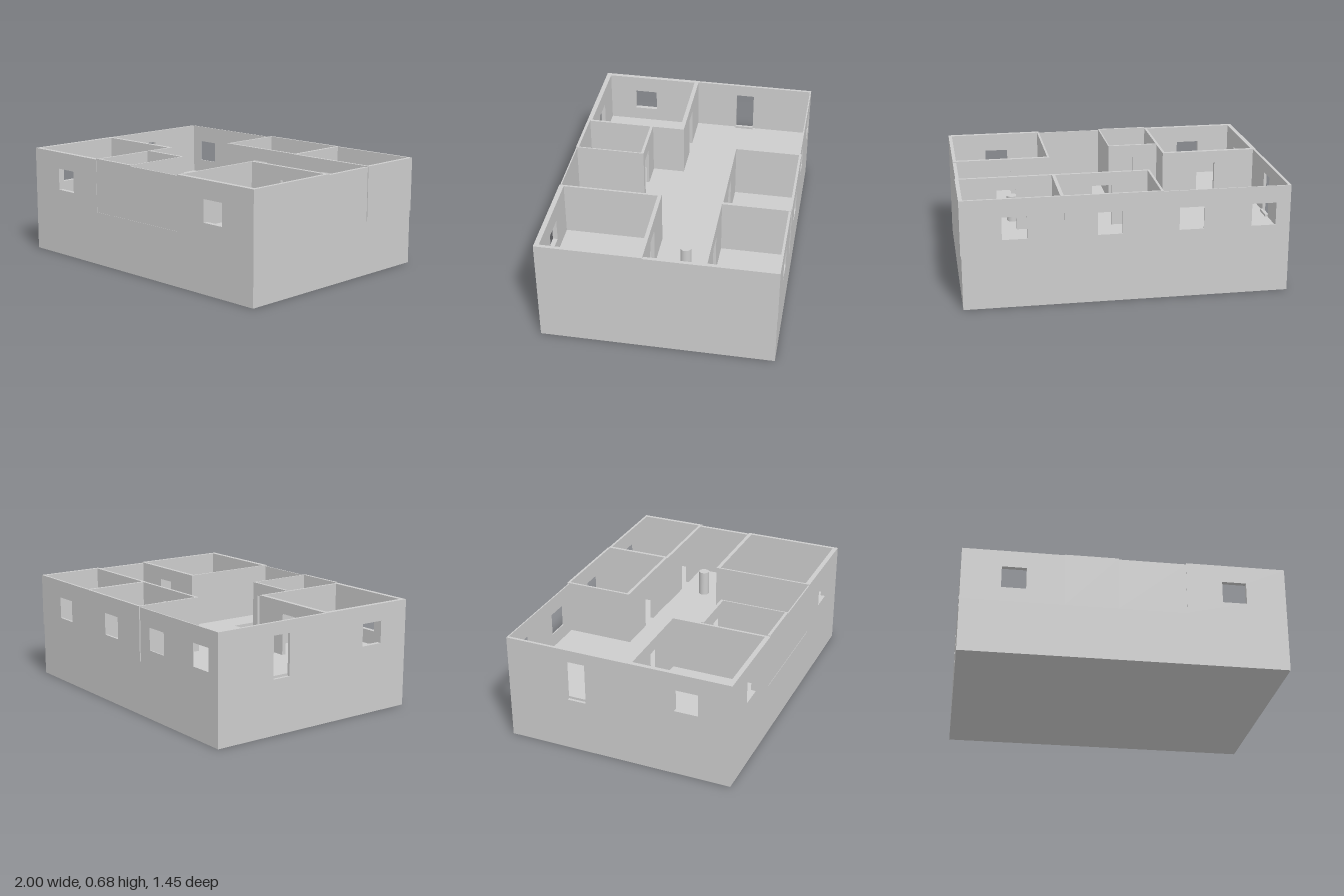
import * as THREE from 'three';

const FLOOR = 0.34, DOOR = 0.60;

export function createModel() {
  const house = new THREE.Group();
  house.name = 'house';
  const plaster = new THREE.MeshStandardMaterial({ color: 0xcccccc });
  plaster.name = 'plaster grey';

  function add(name, geometry, x = 0, y = 0, z = 0) {
    const mesh = new THREE.Mesh(geometry, plaster);
    mesh.name = name;
    mesh.position.set(x, y, z);
    house.add(mesh);
    return mesh;
  }
  function box(name, x0, x1, y0, y1, z0, z1) {
    return add(name, new THREE.BoxGeometry(x1 - x0, y1 - y0, z1 - z0),
      (x0 + x1) / 2, (y0 + y1) / 2, (z0 + z1) / 2);
  }
  function rectPath(a0, a1, b0, b1) {
    const path = new THREE.Path();
    path.moveTo(a0, b0).lineTo(a0, b1).lineTo(a1, b1).lineTo(a1, b0).closePath();
    return path;
  }

  // Wall elevation: a doorway notches the outline, windows are holes
  function wallGeometry(a0, a1, depth, top, { door, windows = [] }) {
    const shape = new THREE.Shape();
    shape.moveTo(a0, FLOOR);
    if (door) {
      shape.lineTo(door[0], FLOOR).lineTo(door[0], DOOR);
      shape.lineTo(door[1], DOOR).lineTo(door[1], FLOOR);
    }
    shape.lineTo(a1, FLOOR).lineTo(a1, top).lineTo(a0, top).closePath();
    for (const centre of windows) shape.holes.push(rectPath(centre - 0.075, centre + 0.075, 0.43, 0.57));
    return new THREE.ExtrudeGeometry(shape, { depth, bevelEnabled: false });
  }
  // Wall running along x, between z0 and z1
  function wallX(name, x0, x1, z0, z1, top, openings = {}) {
    add(name, wallGeometry(x0, x1, z1 - z0, top, openings), 0, 0, z0);
  }
  // Wall running along z, between x0 and x1
  function wallZ(name, z0, z1, x0, x1, top, openings = {}) {
    add(name, wallGeometry(z0, z1, x1 - x0, top, openings), x1).rotation.y = -Math.PI / 2;
  }

  // Base block with the sunken entry
  const plan = new THREE.Shape();
  plan.moveTo(-0.998, -0.72).lineTo(0.992, -0.72).lineTo(0.992, 0.72).lineTo(-0.998, 0.72).closePath();
  plan.holes.push(rectPath(-0.045, 0.19, -0.703, -0.3));
  add('base', new THREE.ExtrudeGeometry(plan, { depth: FLOOR, bevelEnabled: false })).rotation.x = -Math.PI / 2;
  box('entryFloor', -0.045, 0.19, 0, 0.31, 0.3, 0.703);

  // Main living space
  wallX('livingBackWall', -0.998, -0.213, -0.72, -0.712, 0.677, { windows: [-0.834, -0.389] });
  wallZ('livingLeftWall', -0.712, 0.067, -0.998, -0.98, 0.677, { door: [-0.325, -0.205] });
  wallZ('livingRightWall', -0.283, 0.075, 0.97, 0.992, 0.677);
  box('doorThreshold', -0.98, -0.963, FLOOR, 0.355, -0.325, -0.205);
  add('stool', new THREE.CylinderGeometry(0.034, 0.034, 0.165, 32), 0.636, FLOOR + 0.0825, -0.12);

  // Back middle room
  wallX('middleRoomBackWall', -0.213, 0.382, -0.727, -0.712, 0.683, { windows: [0.107] });
  wallX('middleRoomFrontWall', -0.213, 0.382, -0.307, -0.288, 0.683, { door: [0.032, 0.152] });
  wallZ('middleRoomLeftWall', -0.712, -0.307, -0.213, -0.198, 0.683);
  wallZ('sharedRoomWall', -0.723, -0.283, 0.382, 0.403, 0.683);

  // Back corner room
  wallX('cornerRoomBackWall', 0.403, 0.997, -0.723, -0.708, 0.682, { windows: [0.676] });
  wallX('cornerRoomFrontWall', 0.403, 0.997, -0.302, -0.283, 0.682, { door: [0.625, 0.745] });
  wallZ('cornerRoomSideWall', -0.708, -0.302, 0.973, 0.997, 0.682);

  // Front room on the -x side
  wallX('rightFrontRoomFrontWall', -0.998, -0.372, 0.69, 0.72, 0.678, { windows: [-0.68] });
  wallX('rightFrontRoomBackWall', -0.998, -0.372, 0.067, 0.094, 0.678, { door: [-0.72, -0.6] });
  wallZ('rightFrontRoomOuterWall', 0.094, 0.69, -0.998, -0.97, 0.678, { windows: [0.44] });
  wallZ('rightFrontRoomInnerWall', 0.094, 0.69, -0.388, -0.372, 0.678);

  // Bathroom and entry
  wallX('bathroomBackWall', -0.372, -0.045, 0.273, 0.291, 0.683, { door: [-0.21, -0.09] });
  wallX('bathroomFrontWall', -0.372, -0.045, 0.7, 0.718, 0.683);
  wallZ('bathroomSideWall', 0.291, 0.7, -0.054, -0.045, 0.683);
  wallX('entryFrontWall', -0.045, 0.372, 0.71, 0.718, 0.676);

  // Front room on the +x side
  wallX('leftFrontRoomFrontWall', 0.372, 0.992, 0.69, 0.72, 0.683, { windows: [0.67] });
  wallX('leftFrontRoomBackWall', 0.372, 0.992, 0.075, 0.099, 0.683, { door: [0.625, 0.745] });
  wallZ('leftFrontRoomInnerWall', 0.099, 0.69, 0.372, 0.385, 0.683);
  wallZ('leftFrontRoomOuterWall', 0.099, 0.69, 0.97, 0.992, 0.683);

  return house;
}
